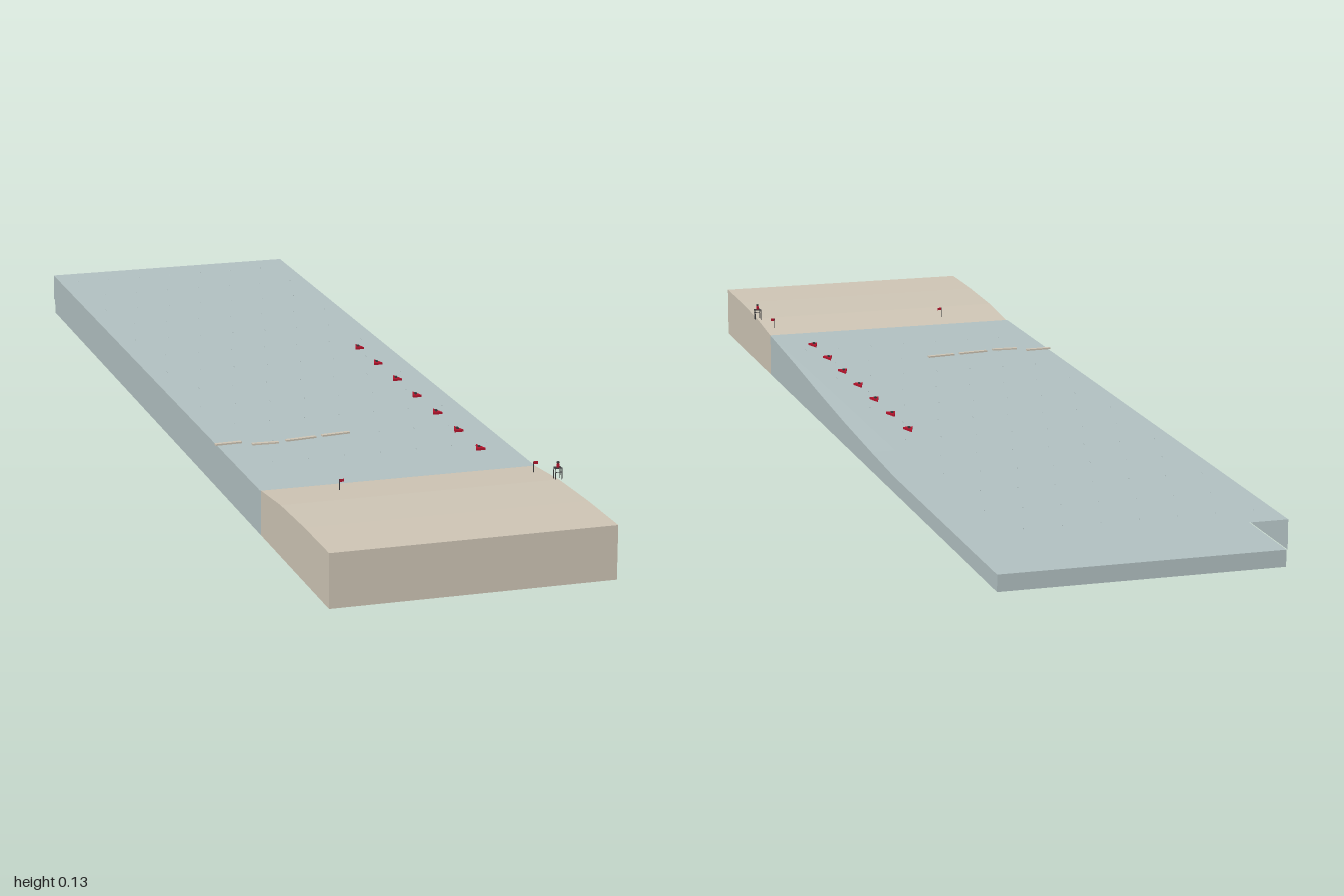
import * as THREE from 'three';

export function createModel() {
  const model = new THREE.Group();
  const mat = (name, color, side = THREE.FrontSide) => {
    const m = new THREE.MeshStandardMaterial({ color, side });
    m.name = name;
    return m;
  };
  const sand = mat('sand', 0xcec5b5);
  const water = mat('water', 0xb1c0c1, THREE.DoubleSide);
  const red = mat('red', 0xb5122b, THREE.DoubleSide);
  const dark = mat('dark metal', 0x3a3a3c);

  const add = (name, geo, material, x = 0, y = 0, z = 0, parent = model) => {
    const m = new THREE.Mesh(geo, material);
    m.name = name;
    m.position.set(x, y, z);
    parent.add(m);
    return m;
  };
  const box = (name, w, h, d, material, x, y, z, parent) =>
    add(name, new THREE.BoxGeometry(w, h, d), material, x, y, z, parent);

  const LEFT = 0.254, RIGHT = -0.255, SHORE = 0.6, LEVEL = 0.083;

  // Side profiles as [z, y], extruded across the width
  const sandTop = [[1, 0.097], [0.86, 0.097], [0.72, 0.093], [SHORE, 0.0825]];
  const bedTop = [[SHORE, 0.0825], [0.4, 0.071], [0.2, 0.057], [0, 0.045],
    [-0.2, 0.036], [-0.36, 0.03], [-1, 0.03]];
  const block = (name, top, material) => {
    const pts = [...top, [top[top.length - 1][0], 0], [top[0][0], 0]];
    const shape = new THREE.Shape(pts.map(p => new THREE.Vector2(...p)));
    const geo = new THREE.ExtrudeGeometry(shape, { depth: LEFT - RIGHT, bevelEnabled: false });
    geo.rotateY(-Math.PI / 2);
    add(name, geo, material, LEFT);
  };
  block('beach', sandTop, sand);
  block('seabed', bedTop, water);

  // Water surface and the single side curtain
  const surface = new THREE.PlaneGeometry(LEFT - RIGHT + 0.002, SHORE + 1).rotateX(-Math.PI / 2);
  add('waterSurface', surface, water, (LEFT + RIGHT) / 2 - 0.001, LEVEL, (SHORE - 1) / 2);
  const side = new THREE.Shape([...bedTop, [-1, LEVEL], [SHORE, LEVEL]].map(p => new THREE.Vector2(...p)));
  add('waterSide', new THREE.ShapeGeometry(side).rotateY(-Math.PI / 2), water, RIGHT - 0.002);

  // Small ripples scattered in staggered rows
  const ripple = new THREE.ConeGeometry(0.002, 0.002, 4);
  for (let row = 0; row < 12; row++) {
    for (let col = 0; col < 7; col++) {
      const x = -0.22 + col * 0.068 + (row % 2) * 0.03;
      add('ripple', ripple, water, x, LEVEL + 0.001, -0.93 + row * 0.125);
    }
  }

  // Row of low triangular floats
  const tri = new THREE.Shape([[-0.009, -0.014], [0.009, -0.014], [0, 0.014]].map(p => new THREE.Vector2(...p)));
  const floatGeo = new THREE.ExtrudeGeometry(tri, { depth: 0.004, bevelEnabled: false }).rotateX(-Math.PI / 2);
  for (let i = 0; i < 7; i++) {
    const z = -0.245 + i * 0.12;
    add('float', floatGeo, red, 0.192, LEVEL + 0.001, z);
    box('floatCap', 0.004, 0.003, 0.006, dark, 0.192, LEVEL + 0.006, z + 0.004);
  }

  // Broken line of sandy strips on the water
  for (const [x, z, w, turn] of [[-0.235, 0.317, 0.05, 0.05], [-0.17, 0.336, 0.05, -0.05],
    [-0.1, 0.327, 0.06, 0.12], [-0.03, 0.317, 0.055, 0.12]]) {
    box('sandStrip', w, 0.003, 0.008, sand, x, LEVEL + 0.002, z).rotation.y = turn;
  }

  // Flags at the shore
  for (const x of [-0.127, 0.233]) {
    box('flagPole', 0.001, 0.02, 0.001, dark, x, 0.097, 0.65);
    box('flag', 0.008, 0.005, 0.001, red, x + 0.004, 0.1045, 0.65);
  }

  // Lookout chair with a seated guard
  const chair = new THREE.Group();
  chair.name = 'lookoutChair';
  chair.position.set(0.254, 0.092, 0.715);
  model.add(chair);
  for (const x of [-0.006, 0.006]) {
    for (const z of [-0.005, 0.005]) box('chairLeg', 0.001, 0.021, 0.001, dark, x, 0.0105, z, chair);
    box('chairArm', 0.001, 0.001, 0.011, dark, x, 0.02, 0, chair);
  }
  box('chairRung', 0.013, 0.001, 0.001, dark, 0, 0.014, 0.005, chair);
  box('chairSeat', 0.013, 0.001, 0.011, dark, 0, 0.021, 0, chair);
  box('guardBody', 0.004, 0.007, 0.004, red, 0, 0.025, 0, chair);
  add('guardHead', new THREE.SphereGeometry(0.0025, 10, 8), dark, 0, 0.031, 0, chair);

  return model;
}
